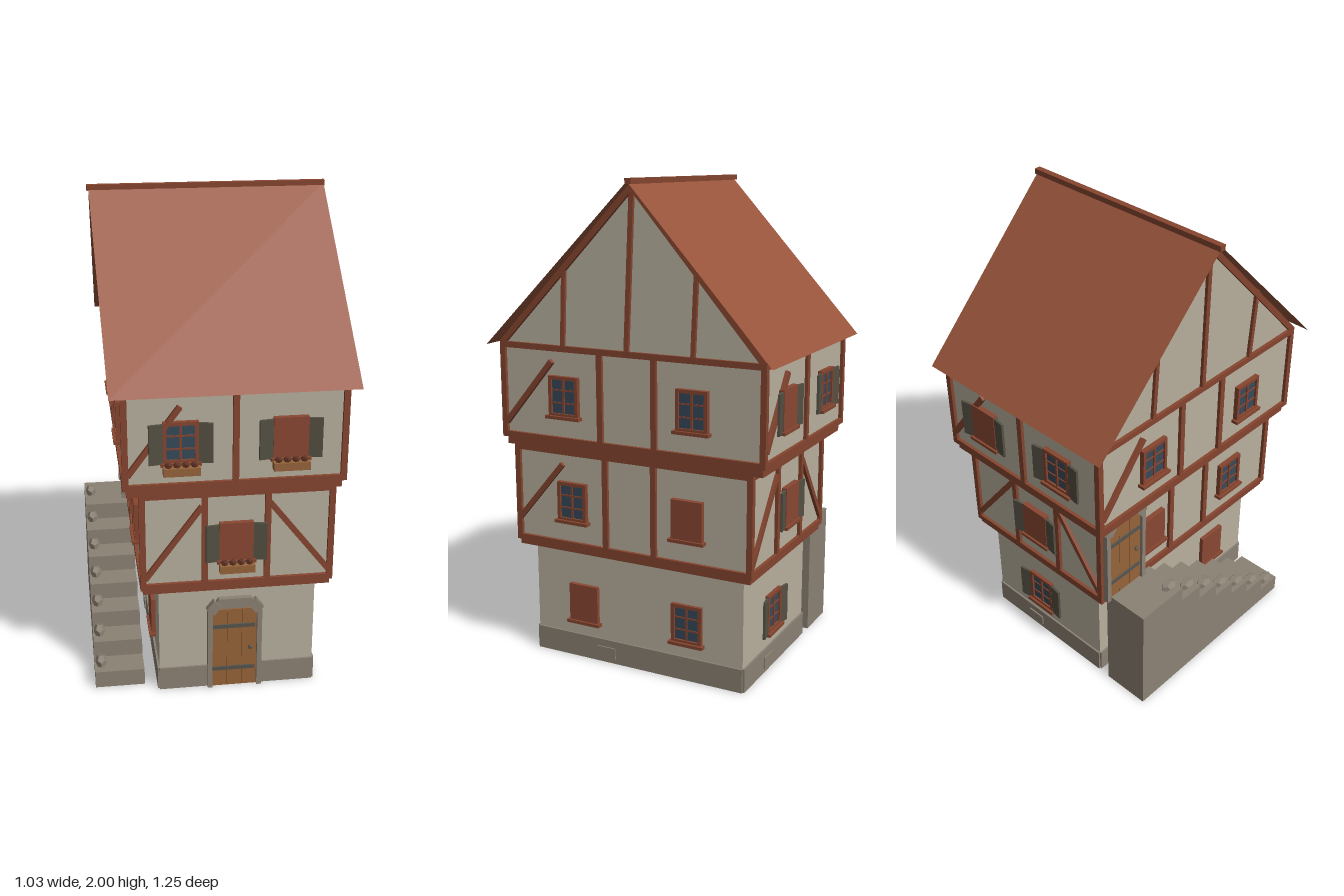
import * as THREE from 'three';

const mat = (name, color, side = THREE.FrontSide) => {
  const m = new THREE.MeshStandardMaterial({ color, side });
  m.name = name;
  return m;
};
const M = {
  plaster: mat('plaster', 0xb9b19f, THREE.DoubleSide),
  timber: mat('timber', 0x86452f),
  roof: mat('roof', 0x98543b, THREE.DoubleSide),
  stone: mat('stone', 0x8c8275),
  panel: mat('closedShutter', 0x8a4733),
  glass: mat('glass', 0x364a5a),
  shutter: mat('openShutter', 0x545043),
  wood: mat('doorWood', 0x97643a),
  iron: mat('iron', 0x55544e),
  flower: mat('flower', 0x5a3022),
};

function add(parent, name, geo, material, x = 0, y = 0, z = 0) {
  const m = new THREE.Mesh(geo, material);
  m.name = name;
  m.position.set(x, y, z);
  parent.add(m);
  return m;
}
const box = (p, name, material, w, h, d, x, y, z) =>
  add(p, name, new THREE.BoxGeometry(w, h, d), material, x, y, z);

function subgroup(parent, name) {
  const g = new THREE.Group();
  g.name = name;
  parent.add(g);
  return g;
}

// Timber lying on a wall plane, from (u1,y1) to (u2,y2)
function beam(p, name, u1, y1, u2, y2, z, w = 0.024, d = 0.024) {
  const len = Math.hypot(u2 - u1, y2 - y1);
  const m = box(p, name, M.timber, len, w, d, (u1 + u2) / 2, (y1 + y2) / 2, z);
  m.rotation.z = Math.atan2(y2 - y1, u2 - u1);
  return m;
}

// Window: kind 'glass' or 'panel', optional open shutters and flower box
function addWindow(wall, u, y, z, kind, shutters = false, planter = false) {
  const g = subgroup(wall, 'window');
  g.position.set(u, y, z);
  const w = 0.135, h = 0.165;
  if (kind === 'panel') box(g, 'closedShutters', M.panel, w, h, 0.024, 0, 0, 0.006);
  else {
    box(g, 'glass', M.glass, w - 0.01, h - 0.01, 0.008, 0, 0, 0.003);
    for (const s of [-1, 1]) {
      box(g, 'frameSide', M.timber, 0.014, h, 0.02, s * (w / 2 - 0.007), 0, 0.006);
      box(g, 'frameRail', M.timber, w, 0.014, 0.02, 0, s * (h / 2 - 0.007), 0.006);
      box(g, 'crossBar', M.timber, w, 0.006, 0.012, 0, s * 0.026, 0.005);
    }
    box(g, 'mullion', M.timber, 0.009, h, 0.014, 0, 0, 0.006);
  }
  box(g, 'sill', M.timber, w + 0.02, 0.013, 0.035, 0, -h / 2 - 0.002, 0.01);
  if (shutters) for (const s of [-1, 1]) {
    const m = box(g, 'openShutter', M.shutter, 0.056, 0.16, 0.01, s * (w / 2 + 0.026), -0.004, 0.014);
    m.rotation.y = -s * 0.15;
  }
  if (planter) {
    box(g, 'flowerBox', M.wood, 0.14, 0.032, 0.04, 0, -0.104, 0.034);
    for (let i = 0; i < 4; i++)
      add(g, 'flower', new THREE.IcosahedronGeometry(0.015, 0), M.flower, -0.05 + i * 0.033, -0.082, 0.034);
  }
}

// Plank door in a faceted stone arch
function addDoor(wall, u, y, z) {
  const g = subgroup(wall, 'door');
  g.position.set(u, y, z);
  const outer = [[-0.112, 0], [-0.112, 0.36], [-0.066, 0.418], [0.066, 0.418], [0.112, 0.36], [0.112, 0]];
  const inner = [[0.092, 0], [0.092, 0.35], [0.05, 0.386], [-0.05, 0.386], [-0.092, 0.35], [-0.092, 0]];
  const arch = new THREE.Shape([...outer, ...inner].map(([a, b]) => new THREE.Vector2(a, b)));
  add(g, 'stoneArch', new THREE.ExtrudeGeometry(arch, { depth: 0.035, bevelEnabled: false }), M.stone, 0, 0, -0.012);
  for (const s of [-1, 1]) {
    const k = box(g, 'archStone', M.stone, 0.05, 0.042, 0.042, s * 0.086, 0.38, 0.006);
    k.rotation.z = -s * 0.9;
  }
  box(g, 'archFill', M.stone, 0.12, 0.04, 0.008, 0, 0.37, 0.001);
  for (let i = -1; i <= 1; i++)
    box(g, 'plank', M.wood, 0.06, 0.362, 0.014, i * 0.0615, 0.181, 0.003);
  for (const h of [0.085, 0.285]) box(g, 'strap', M.iron, 0.175, 0.016, 0.008, -0.003, h, 0.012);
  add(g, 'knob', new THREE.IcosahedronGeometry(0.01, 0), M.iron, 0.065, 0.18, 0.015);
}

// Four wall groups: local x runs along the wall, local z points outward
const SIDES = ['front', 'left', 'back', 'right'];
function walls(parent, b) {
  const dist = [b.z1, b.x1, -b.z0, -b.x0];
  const range = [[b.x0, b.x1], [-b.z1, -b.z0], [-b.x1, -b.x0], [b.z0, b.z1]];
  return SIDES.map((s, i) => {
    const g = subgroup(parent, s + 'Wall');
    g.rotation.y = i * Math.PI / 2;
    return { g, d: dist[i], u0: range[i][0], u1: range[i][1] };
  });
}
function slab(parent, name, material, b, y0, y1, inset) {
  box(parent, name, material, b.x1 - b.x0 - 2 * inset, y1 - y0, b.z1 - b.z0 - 2 * inset,
    (b.x0 + b.x1) / 2, (y0 + y1) / 2, (b.z0 + b.z1) / 2);
}

// Half-timbered storey: plaster core, rails, corner posts and inner posts
function storey(root, name, b, posts) {
  const g = subgroup(root, name);
  slab(g, 'plasterWalls', M.plaster, b, b.y0, b.y1, 0.014);
  const sides = walls(g, b);
  sides.forEach((w, i) => {
    const z = w.d - 0.012;
    beam(w.g, 'bottomRail', w.u0, b.y0 + 0.01, w.u1, b.y0 + 0.01, z);
    beam(w.g, 'topRail', w.u0, b.y1 - 0.012, w.u1, b.y1 - 0.012, z);
    for (const u of [w.u0 + 0.012, ...posts[i], w.u1 - 0.012]) beam(w.g, 'post', u, b.y0, u, b.y1, z);
  });
  return sides;
}

export function createModel() {
  const root = new THREE.Group();
  root.name = 'timberFramedHouse';

  // Ground floor, open underneath
  const B0 = { x0: -0.25, x1: 0.39, z0: -0.47, z1: 0.49, y0: 0, y1: 0.48 };
  const ground = subgroup(root, 'groundFloor');
  const G = walls(ground, B0);
  G.forEach((w, i) => {
    const len = w.u1 - w.u0;
    add(w.g, 'plasterWall', new THREE.PlaneGeometry(len, 0.48), M.plaster, (w.u0 + w.u1) / 2, 0.24, w.d);
    const spans = i === 0 ? [[w.u0, -0.04], [0.16, w.u1]] : [[w.u0, w.u1]];
    for (const [a, c] of spans) box(w.g, 'plinth', M.stone, c - a, 0.1, 0.008, (a + c) / 2, 0.05, w.d + 0.004);
    if (i) box(w.g, 'plinthStone', M.stone, 0.085, 0.048, 0.02, -0.15, 0.045, w.d + 0.004);
  });
  addDoor(G[0].g, 0.06, 0, G[0].d);
  addWindow(G[1].g, -0.255, 0.245, G[1].d, 'panel');
  addWindow(G[1].g, 0.225, 0.245, G[1].d, 'glass');
  addWindow(G[2].g, -0.1, 0.245, G[2].d, 'glass', true);
  for (const u of [-0.23, 0.26]) addWindow(G[3].g, u, 0.245, G[3].d, 'panel');

  // First upper storey on its jetty
  const B1 = { x0: -0.325, x1: 0.447, z0: -0.527, z1: 0.55, y0: 0.505, y1: 0.92 };
  slab(root, 'lowerJetty', M.timber, B1, 0.48, 0.505, 0.01);
  const F = storey(root, 'firstStorey', B1, [[-0.07, 0.18], [-0.12, 0.1], [-0.18, 0.07], [-0.1, 0.12]]);
  for (const i of [0, 2]) {
    const { g, d, u0, u1 } = F[i];
    const c = i ? -0.055 : 0.055;
    beam(g, 'brace', u0 + 0.02, 0.55, c - 0.135, 0.855, d - 0.012, 0.022);
    beam(g, 'brace', u1 - 0.02, 0.55, c + 0.135, 0.855, d - 0.012, 0.022);
    addWindow(g, c, 0.7, d - 0.01, 'panel', true, i === 0);
  }
  for (const i of [1, 3]) {
    const { g, d, u0 } = F[i];
    beam(g, 'brace', u0 + 0.015, 0.6, u0 + 0.23, 0.855, d - 0.012, 0.022);
    addWindow(g, i === 1 ? -0.275 : -0.22, 0.7, d - 0.01, i === 1 ? 'glass' : 'panel');
    addWindow(g, i === 1 ? 0.25 : 0.28, 0.7, d - 0.01, i === 1 ? 'panel' : 'glass');
  }
  addDoor(F[3].g, -0.4, 0.51, F[3].d);

  // Second upper storey on its jetty
  const B2 = { x0: -0.387, x1: 0.477, z0: -0.588, z1: 0.585, y0: 0.955, y1: 1.35 };
  slab(root, 'upperJetty', M.timber, B2, 0.92, 0.955, 0.015);
  const S = storey(root, 'secondStorey', B2, [[0.045], [-0.12, 0.12], [-0.045], [-0.12, 0.12]]);
  S.forEach(({ g, d, u0 }, i) => {
    const longSide = i % 2 === 1;
    beam(g, 'brace', u0 + 0.02, 1.015, u0 + (longSide ? 0.245 : 0.22), 1.285, d - 0.009, 0.022);
    const [a, c] = longSide ? [-0.285, 0.285] : i === 0 ? [-0.165, 0.253] : [-0.255, 0.16];
    addWindow(g, a, 1.145, d - 0.01, i === 2 ? 'panel' : 'glass', !longSide, i === 0);
    addWindow(g, c, 1.145, d - 0.01, i === 0 ? 'panel' : 'glass', !longSide, i === 0);
  });

  // Gables, leaning slightly together with the ridge
  for (const i of [1, 3]) {
    const s = i === 1 ? 1 : -1;
    const w = S[i];
    const g = subgroup(w.g, 'gable');
    g.position.set(0, 1.345, w.d);
    g.rotation.x = -s * 0.036;
    const ap = s * 0.02;
    const tri = new THREE.Shape([[w.u0, 0], [w.u1, 0], [ap, 0.635]].map(([a, b]) => new THREE.Vector2(a, b)));
    add(g, 'gablePlaster', new THREE.ShapeGeometry(tri), M.plaster, 0, 0, -0.014);
    beam(g, 'rake', w.u0 + 0.01, 0, ap, 0.625, -0.012);
    beam(g, 'rake', w.u1 - 0.01, 0, ap, 0.625, -0.012);
    beam(g, 'kingPost', ap - s * 0.018, 0, ap, 0.62, -0.013, 0.02);
    beam(g, 'sidePost', -0.287, 0, -0.28, 0.315, -0.013, 0.018);
    beam(g, 'sidePost', 0.287, 0, 0.295, 0.31, -0.013, 0.018);
  }

  // Thin roof sheets and ridge beam
  for (const s of [1, -1]) {
    const geo = new THREE.BufferGeometry();
    geo.setAttribute('position', new THREE.Float32BufferAttribute([
      -0.455, 1.988, -0.02, 0.485, 1.988, -0.02, -0.43, 1.338, s * 0.625, 0.512, 1.338, s * 0.625], 3));
    geo.setIndex(s > 0 ? [0, 2, 1, 1, 2, 3] : [0, 1, 2, 1, 3, 2]);
    geo.computeVertexNormals();
    add(root, s > 0 ? 'frontRoof' : 'backRoof', geo, M.roof);
  }
  box(root, 'ridgeBeam', M.timber, 0.95, 0.022, 0.026, 0.013, 1.989, -0.025);

  // Outside stair rising to the rear landing
  const stair = subgroup(root, 'outsideStair');
  const rise = 0.073, run = 0.115;
  for (let i = 0; i < 7; i++) {
    const z1 = 0.45 - i * run, z0 = i === 6 ? -0.48 : z1 - run, h = rise * (i + 1);
    box(stair, i === 6 ? 'landing' : 'step', M.stone, 0.205, h, z1 - z0, -0.412, h / 2, (z0 + z1) / 2);
    const knob = add(stair, 'edgeStone', new THREE.DodecahedronGeometry(1, 0), M.stone,
      -0.487, 0.092 + i * 0.0772, z1 - run / 2);
    knob.scale.set(0.025, 0.024, 0.042);
  }
  return root;
}
